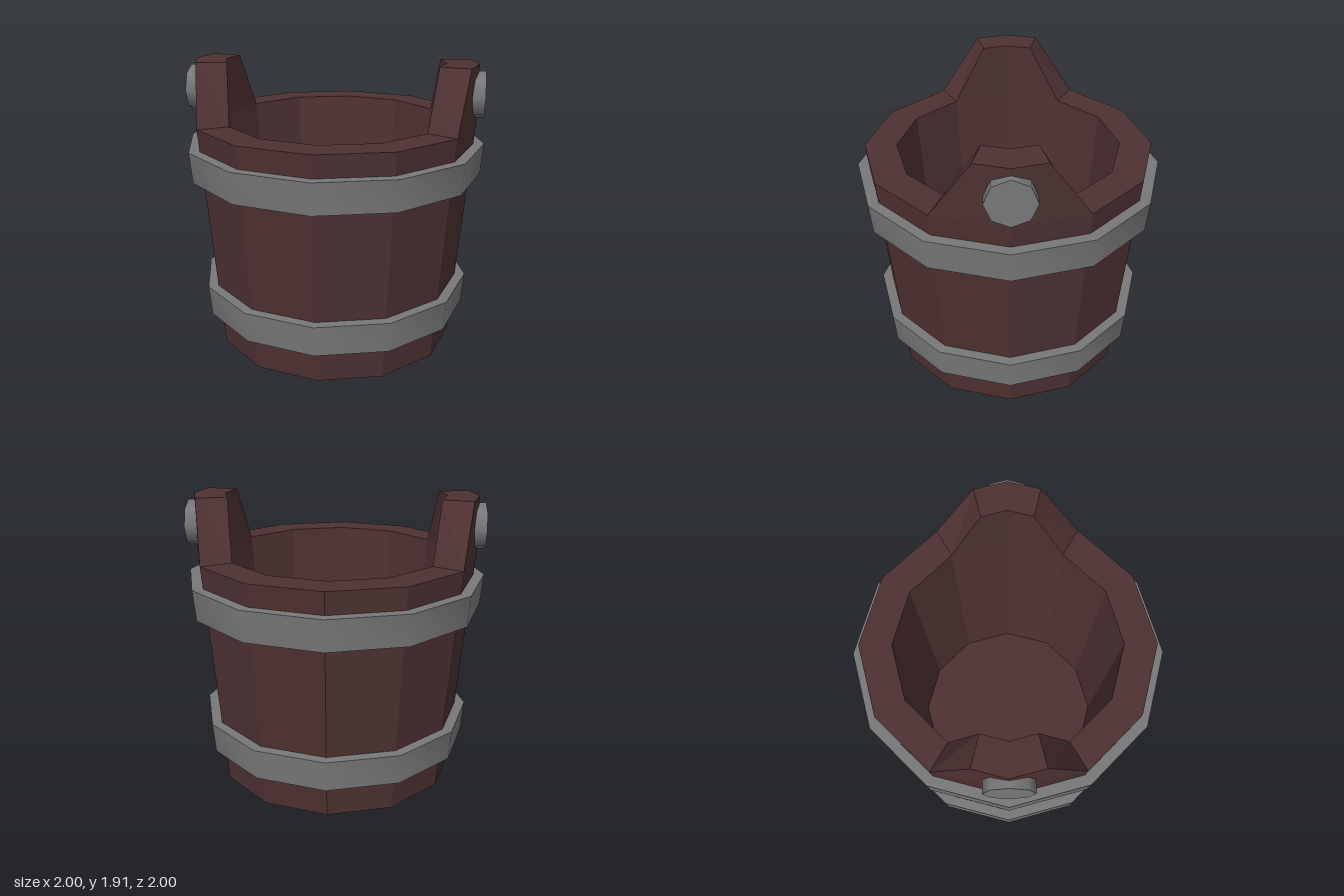
import * as THREE from 'three';
import { toCreasedNormals } from 'three/addons/utils/BufferGeometryUtils.js';

const SIDES = 12;
const RIM = 1.53;      // height of the bucket wall
const OUTER = 0.94;    // rim radii
const INNER = 0.73;
const EAR = 0.38;      // height of the ears above the rim

const lathe = (pts) =>
  new THREE.LatheGeometry(pts.map(([r, y]) => new THREE.Vector2(r, y)), SIDES);

// Ear: two wall segments raised above the rim, narrowing towards the top
function earGeometry() {
  const c = Math.cos(Math.PI / 6), s = Math.sin(Math.PI / 6);
  const plan = [
    [OUTER * c, -OUTER * s], [OUTER, 0], [OUTER * c, OUTER * s],
    [INNER * c, INNER * s], [INNER, 0], [INNER * c, -INNER * s],
  ].map(([x, y]) => new THREE.Vector2(x, y));
  const geo = new THREE.ExtrudeGeometry(new THREE.Shape(plan), { depth: EAR, bevelEnabled: false });
  const p = geo.attributes.position;
  for (let i = 0; i < p.count; i++) {
    if (p.getZ(i) < EAR / 2) continue;
    const x = p.getX(i), y = p.getY(i);
    if (Math.abs(y) < 0.01) continue;
    // slide the upper end corners along the wall towards the middle corner
    const middle = Math.hypot(x, y);
    p.setXY(i, THREE.MathUtils.lerp(x, middle, 0.553), y * (1 - 0.553));
  }
  geo.rotateX(-Math.PI / 2);
  geo.translate(0, RIM, 0);
  geo.computeVertexNormals();
  return geo;
}

export function createModel() {
  const wood = new THREE.MeshStandardMaterial({ color: 0x4e3132 });
  wood.name = 'darkWood';
  wood.flatShading = true;
  const metal = new THREE.MeshStandardMaterial({ color: 0x787878 });
  metal.name = 'greyMetal';

  const bucket = new THREE.Group();
  bucket.name = 'bucket';
  const add = (name, geo, mat) => {
    const mesh = new THREE.Mesh(geo, mat);
    mesh.name = name;
    bucket.add(mesh);
    return mesh;
  };

  // Hollow tapered body with its floor
  add('body', lathe([[0, 0], [0.82, 0], [OUTER, RIM], [INNER, RIM], [0.63, 0.23], [0, 0.23]]), wood);

  // Hoops: closed rings around the body
  const hoop = (name, y0, y1, r0, r1) => {
    const t = 0.1;
    const ring = lathe([[r0 - t, y0], [r0, y0], [r1, y1], [r1 - t, y1], [r0 - t, y0]]);
    add(name, toCreasedNormals(ring, 0.7), metal);
  };
  hoop('lowerHoop', 0.23, 0.435, 0.906, 0.922);
  hoop('upperHoop', 1.18, 1.385, 0.983, 1.0);

  // Ears with a metal stud on the outside of each
  const ear = earGeometry();
  const stud = new THREE.CylinderGeometry(0.153, 0.153, 0.14, 8);
  stud.rotateZ(-Math.PI / 2);
  stud.translate(0.912, 1.713, 0);
  for (const [side, turn] of [['left', 0], ['right', Math.PI]]) {
    add(side + 'Ear', ear, wood).rotation.y = turn;
    add(side + 'Stud', stud, metal).rotation.y = turn;
  }
  return bucket;
}
